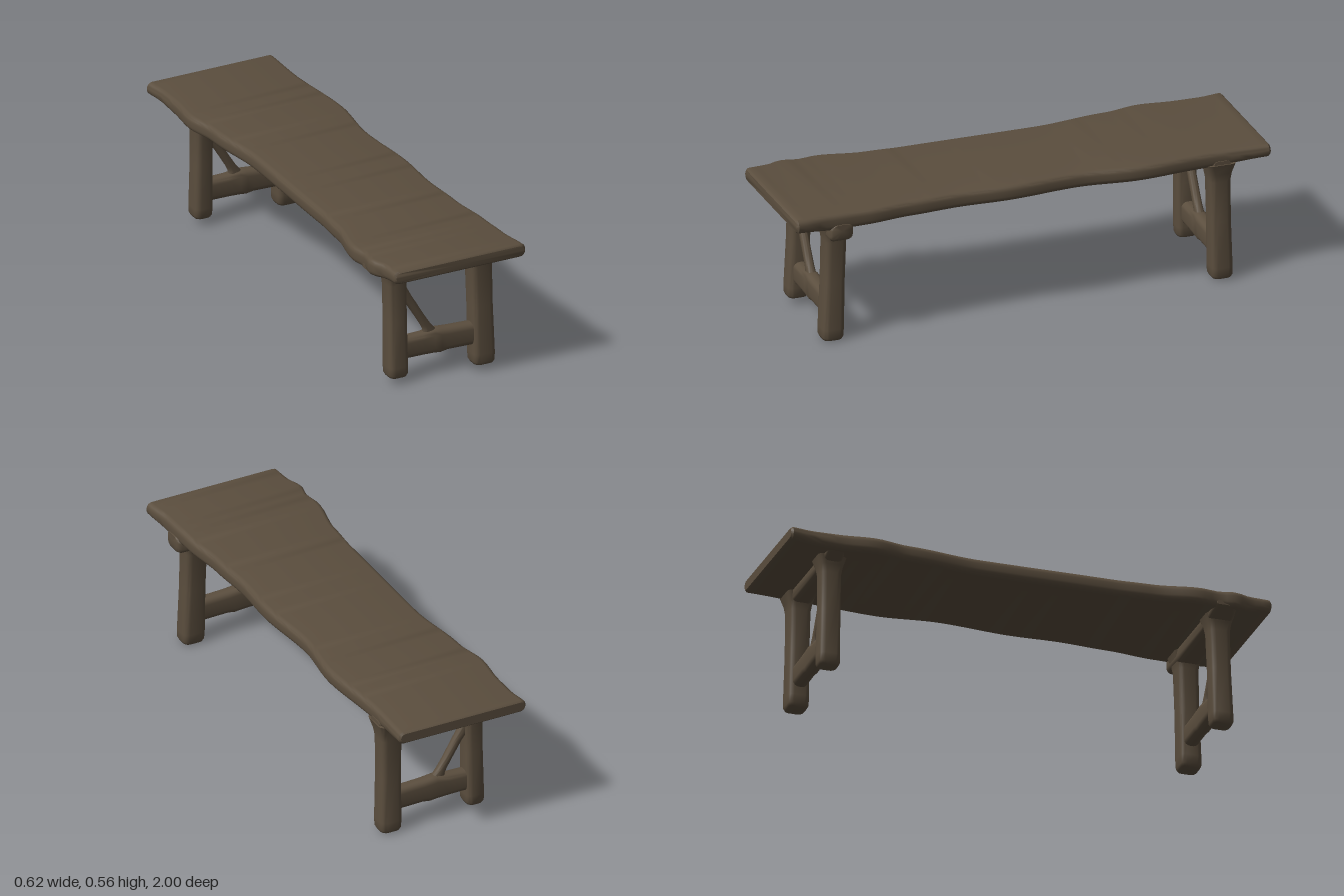
import * as THREE from 'three';
import { toCreasedNormals } from 'three/addons/utils/BufferGeometryUtils.js';

const darkWood = new THREE.MeshStandardMaterial({ color: 0x5b4e3e });
darkWood.name = 'darkWood';

// Unit vectors [A, B] of the cross-section for each loft direction
const AXES = {
  x: ['y', 'z'],
  y: ['z', 'x'],
  z: ['x', 'y'],
};

// Loft of rounded-rectangle rings: { c: {x,y,z}, a, b: half sizes, r: corner radius }
function loft(axis, rings, name, crease = 0.75) {
  const [A, B] = AXES[axis];
  const SEG = 4, N = 4 * (SEG + 1);
  const pos = [], idx = [];
  const add = (p) => pos.push(p.x, p.y, p.z);
  for (const { c, a, b, r } of rings) {
    const rad = Math.min(r, a, b);
    for (let q = 0; q < 4; q++) {
      const sa = q === 0 || q === 3 ? 1 : -1, sb = q < 2 ? 1 : -1;
      for (let k = 0; k <= SEG; k++) {
        const t = (q + k / SEG) * Math.PI / 2;
        const p = { ...c };
        p[A] += sa * (a - rad) + rad * Math.cos(t);
        p[B] += sb * (b - rad) + rad * Math.sin(t);
        add(p);
      }
    }
  }
  for (let i = 0; i < rings.length - 1; i++) {
    for (let j = 0; j < N; j++) {
      const k = (j + 1) % N, p = i * N, q = p + N;
      idx.push(p + j, p + k, q + k, p + j, q + k, q + j);
    }
  }
  // End caps
  const last = rings.length - 1, start = pos.length / 3;
  add(rings[0].c);
  add(rings[last].c);
  for (let j = 0; j < N; j++) {
    const k = (j + 1) % N;
    idx.push(start, k, j, start + 1, last * N + j, last * N + k);
  }
  const geo = new THREE.BufferGeometry();
  geo.setAttribute('position', new THREE.Float32BufferAttribute(pos, 3));
  geo.setIndex(idx);
  const mesh = new THREE.Mesh(toCreasedNormals(geo, crease), darkWood);
  mesh.name = name;
  return mesh;
}

// Smooth value through [position, value] pairs
function smooth(points) {
  return (t) => {
    let i = 0;
    while (i < points.length - 2 && t > points[i + 1][0]) i++;
    const [t0, v0] = points[i], [t1, v1] = points[i + 1];
    return v0 + (v1 - v0) * THREE.MathUtils.smoothstep(t, t0, t1);
  };
}

// Live-edge seat plank
function makeSeat() {
  const left = smooth([[-1, -0.31], [-0.9, -0.297], [-0.8, -0.297], [-0.65, -0.31], [-0.5, -0.285],
    [-0.2, -0.255], [0.35, -0.26], [0.5, -0.268], [0.7, -0.3], [0.78, -0.288], [0.84, -0.3], [0.92, -0.275], [1, -0.27]]);
  const right = smooth([[-1, 0.25], [-0.8, 0.246], [-0.45, 0.272], [-0.2, 0.246], [0.1, 0.265],
    [0.3, 0.256], [0.5, 0.266], [0.7, 0.285], [0.85, 0.29], [1, 0.308]]);
  const top = smooth([[-1, 0.552], [-0.6, 0.556], [0.6, 0.556], [1, 0.562]]);
  const bottom = smooth([[-1, 0.5], [-0.75, 0.49], [-0.6, 0.492], [0.6, 0.49], [0.82, 0.49], [1, 0.507]]);
  const rings = [];
  const ring = (z, inset) => {
    const l = left(z) + inset, r = right(z) - inset, t = top(z) - inset, b = bottom(z) + inset;
    rings.push({ c: { x: (l + r) / 2, y: (t + b) / 2, z }, a: (r - l) / 2, b: (t - b) / 2, r: 0.022 });
  };
  ring(-1, 0.007);
  for (let i = 0; i <= 64; i++) ring(-0.992 + 1.984 * i / 64, 0);
  ring(1, 0.007);
  return loft('z', rings, 'seat');
}

// Post with a rounded foot, from bottom [x, y, z] to top [x, y, z]
function makeLeg(bot, top, halfX, halfZ, name) {
  const at = (t, grow) => ({
    c: {
      x: THREE.MathUtils.lerp(bot[0], top[0], t),
      y: THREE.MathUtils.lerp(bot[1], top[1], t),
      z: THREE.MathUtils.lerp(bot[2], top[2], t),
    },
    a: halfZ + grow, b: halfX + grow, r: 0.022,
  });
  return loft('y', [at(0, -0.014), at(0.008, -0.005), at(0.03, 0), at(0.1, 0.001),
    at(0.5, -0.001), at(0.84, 0), at(0.91, 0.005), at(1, 0.018)], name);
}

// One trestle: two legs, top rail, stretcher and slanting brace
function makeTrestle(name, o) {
  const g = new THREE.Group();
  g.name = name;
  const z = o.zTop;
  g.add(makeLeg([o.rightX, o.rightFoot, o.zFoot], [o.rightX - 0.006, 0.5, z], o.rightHalf, 0.043, name + 'PlusLeg'));
  g.add(makeLeg([o.leftX, o.leftFoot, o.zFoot], [o.leftX + 0.002, 0.5, z], o.leftHalf, 0.043, name + 'MinusLeg'));

  // Top rail under the seat, tapering up at its ends
  g.add(loft('x', o.rail.map(([x, yLow, half]) => (
    { c: { x, y: (yLow + 0.515) / 2, z }, a: (0.515 - yLow) / 2, b: half, r: 0.022 })), name + 'TopRail'));

  // Stretcher between the legs
  const zs = THREE.MathUtils.lerp(o.zFoot, z, 0.28);
  const beam = [[-0.15, 0.092, 0.184], [-0.06, 0.091, 0.186], [-0.01, 0.089, 0.194],
    [0.02, 0.086, 0.191], [0.05, 0.091, 0.188], [0.17, 0.088, 0.183]];
  g.add(loft('x', beam.map(([x, lo, hi]) => (
    { c: { x, y: (lo + hi) / 2, z: zs }, a: (hi - lo) / 2, b: 0.03, r: 0.024 })), name + 'Stretcher'));

  // Brace from the stretcher up to the minus-side leg
  const stick = [[-0.022, 0.17, 0.034], [-0.026, 0.193, 0.025], [-0.04, 0.215, 0.021], [-0.065, 0.255, 0.02],
    [-0.107, 0.325, 0.021], [-0.128, 0.355, 0.024], [-0.152, 0.4, 0.024]];
  g.add(loft('y', stick.map(([x, y, half]) => (
    { c: { x, y, z: zs }, a: 0.017, b: half, r: 0.015 })), name + 'Brace'));
  return g;
}

export function createModel() {
  const model = new THREE.Group();
  model.name = 'bench';
  model.add(makeSeat());
  model.add(makeTrestle('front', {
    zFoot: 0.823, zTop: 0.806,
    leftX: -0.174, leftFoot: 0.026, leftHalf: 0.041,
    rightX: 0.204, rightFoot: 0.002, rightHalf: 0.046,
    rail: [[-0.29, 0.497, 0.04], [-0.25, 0.475, 0.05], [-0.21, 0.461, 0.052], [-0.13, 0.447, 0.05],
      [0.14, 0.439, 0.05], [0.275, 0.443, 0.05], [0.288, 0.449, 0.045], [0.293, 0.46, 0.038]],
  }));
  model.add(makeTrestle('back', {
    zFoot: -0.804, zTop: -0.796,
    leftX: -0.174, leftFoot: 0.028, leftHalf: 0.038,
    rightX: 0.198, rightFoot: 0.006, rightHalf: 0.045,
    rail: [[-0.27, 0.495, 0.035], [-0.22, 0.468, 0.04], [-0.13, 0.452, 0.042],
      [0.14, 0.448, 0.042], [0.23, 0.458, 0.042], [0.25, 0.485, 0.035]],
  }));
  return model;
}
